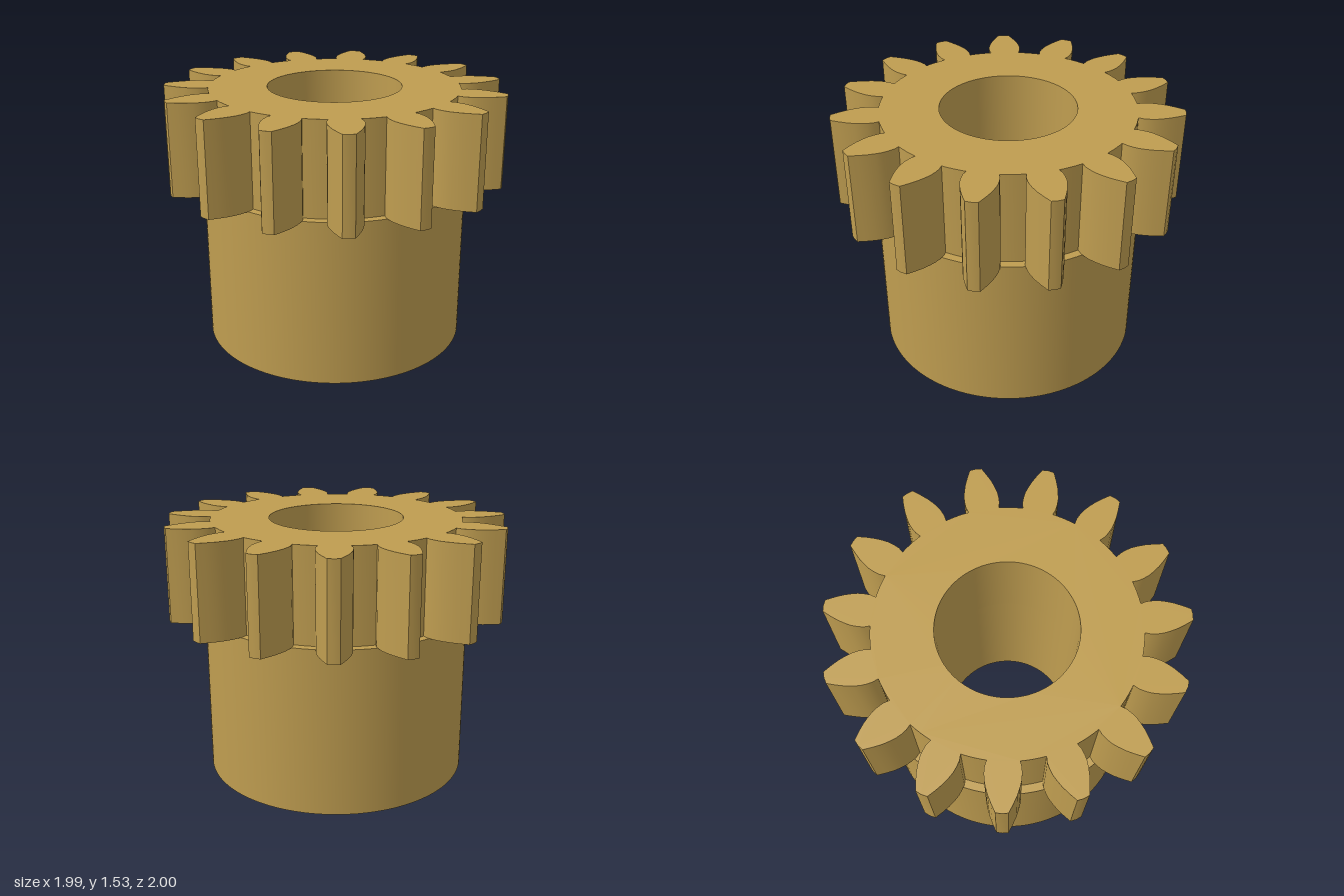
import * as THREE from 'three';
import { toCreasedNormals } from 'three/addons/utils/BufferGeometryUtils.js';

const TEETH = 15, ROOT = 0.738, BORE = 0.395, HUB = 0.786;
const HUB_HEIGHT = 0.985, TOTAL_HEIGHT = 1.535;

// One flank of a tooth from root to tip: [radius, half width]
const FLANK = [[0.733, 0.086], [0.765, 0.096], [0.8, 0.098], [0.835, 0.096],
  [0.87, 0.088], [0.91, 0.076], [0.955, 0.057], [1.002, 0.034]];

function circle(radius, PathType) {
  const path = new PathType();
  path.absarc(0, 0, radius, 0, Math.PI * 2, false);
  return path;
}

// Tooth flanks joined by short arcs along the root circle
function gearOutline() {
  const points = [];
  const pitch = (Math.PI * 2) / TEETH;
  const rootAngle = Math.atan2(FLANK[0][1], FLANK[0][0]);
  const add = (x, y, a) => points.push(new THREE.Vector2(
    x * Math.cos(a) - y * Math.sin(a), x * Math.sin(a) + y * Math.cos(a)));
  for (let i = 0; i < TEETH; i++) {
    const a = i * pitch;
    FLANK.forEach(([r, w]) => add(r, -w, a));
    add(1.006, 0, a);
    [...FLANK].reverse().forEach(([r, w]) => add(r, w, a));
    for (let k = 1; k < 4; k++) {
      add(ROOT, 0, a + rootAngle + (pitch - 2 * rootAngle) * k / 4);
    }
  }
  return new THREE.Shape(points);
}

// Upright extrusion with the bore cut through it
function boredPart(name, shape, bottom, top, material) {
  shape.holes.push(circle(BORE, THREE.Path));
  const geometry = new THREE.ExtrudeGeometry(shape, {
    depth: top - bottom, bevelEnabled: false, curveSegments: 72,
  });
  geometry.rotateX(-Math.PI / 2);
  geometry.translate(-0.007, bottom, 0);
  const mesh = new THREE.Mesh(toCreasedNormals(geometry, Math.PI / 7), material);
  mesh.name = name;
  return mesh;
}

export function createModel() {
  const brass = new THREE.MeshStandardMaterial({ color: 0xbf9d50 });
  brass.name = 'brass';

  const model = new THREE.Group();
  model.name = 'pinionGear';
  model.add(
    boredPart('hub', circle(HUB, THREE.Shape), 0, HUB_HEIGHT, brass),
    boredPart('toothedWheel', gearOutline(), HUB_HEIGHT, TOTAL_HEIGHT, brass),
  );
  return model;
}
